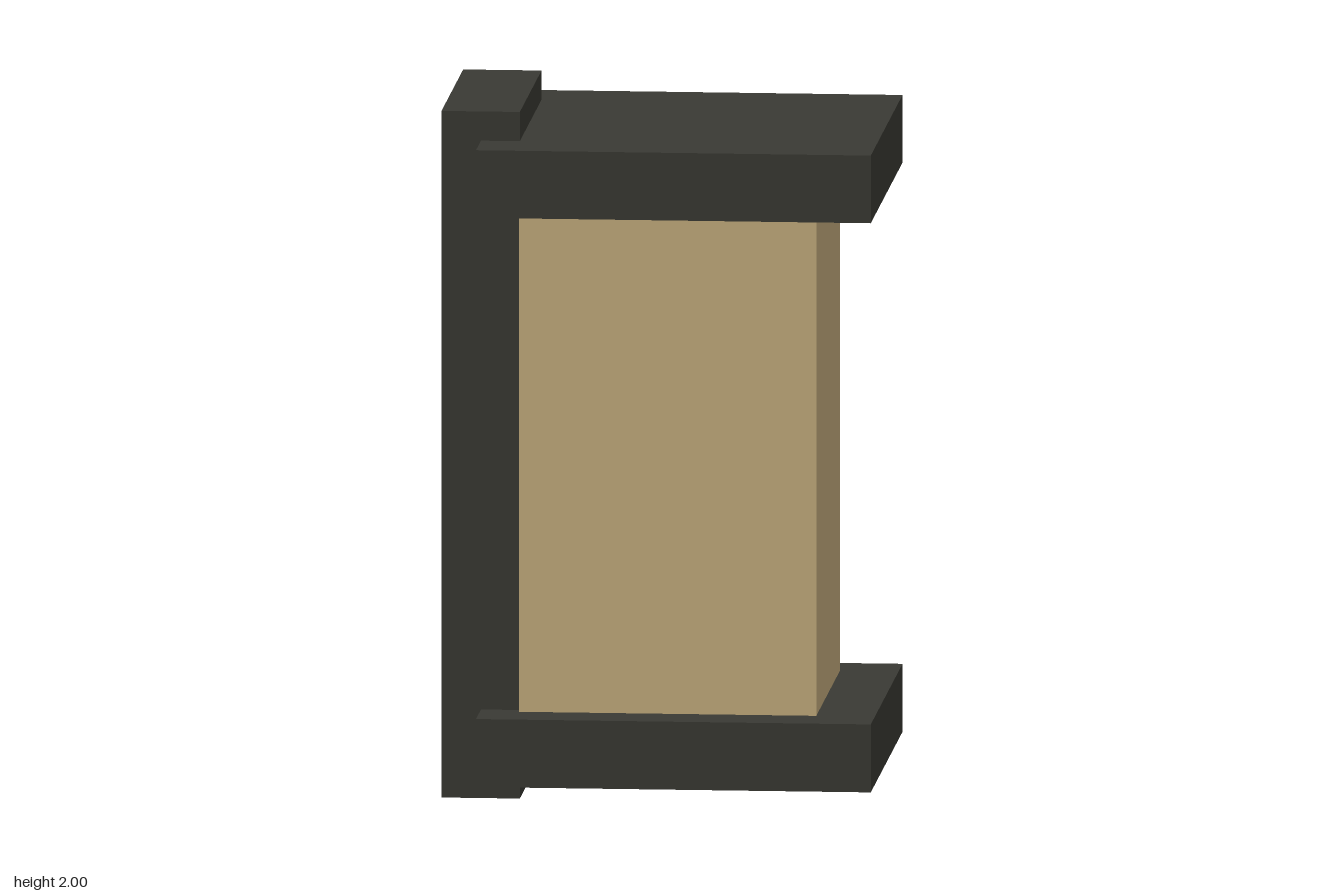
import * as THREE from 'three';

export function createModel() {
  const model = new THREE.Group();
  const frame = new THREE.MeshStandardMaterial({ color: 0x3a3a34 });
  frame.name = 'darkFrame';
  const panel = new THREE.MeshStandardMaterial({ color: 0xc8b080 });
  panel.name = 'tanPanel';

  // Box from its x and y limits, symmetric in z
  function addBox(name, material, x0, x1, y0, y1, depth) {
    const mesh = new THREE.Mesh(new THREE.BoxGeometry(x1 - x0, y1 - y0, depth), material);
    mesh.position.set((x0 + x1) / 2, (y0 + y1) / 2, 0);
    mesh.name = name;
    model.add(mesh);
  }

  // Wall plate along the right side
  addBox('mountingPlate', frame, -0.628, -0.402, 0, 2, 0.74);
  // Glowing body between the caps
  addBox('lanternBody', panel, -0.402, 0.456, 0.258, 1.718, 0.804);
  // Overhanging caps
  addBox('bottomCap', frame, -0.514, 0.625, 0.06, 0.258, 1.082);
  addBox('topCap', frame, -0.514, 0.625, 1.718, 1.915, 1.082);

  return model;
}
